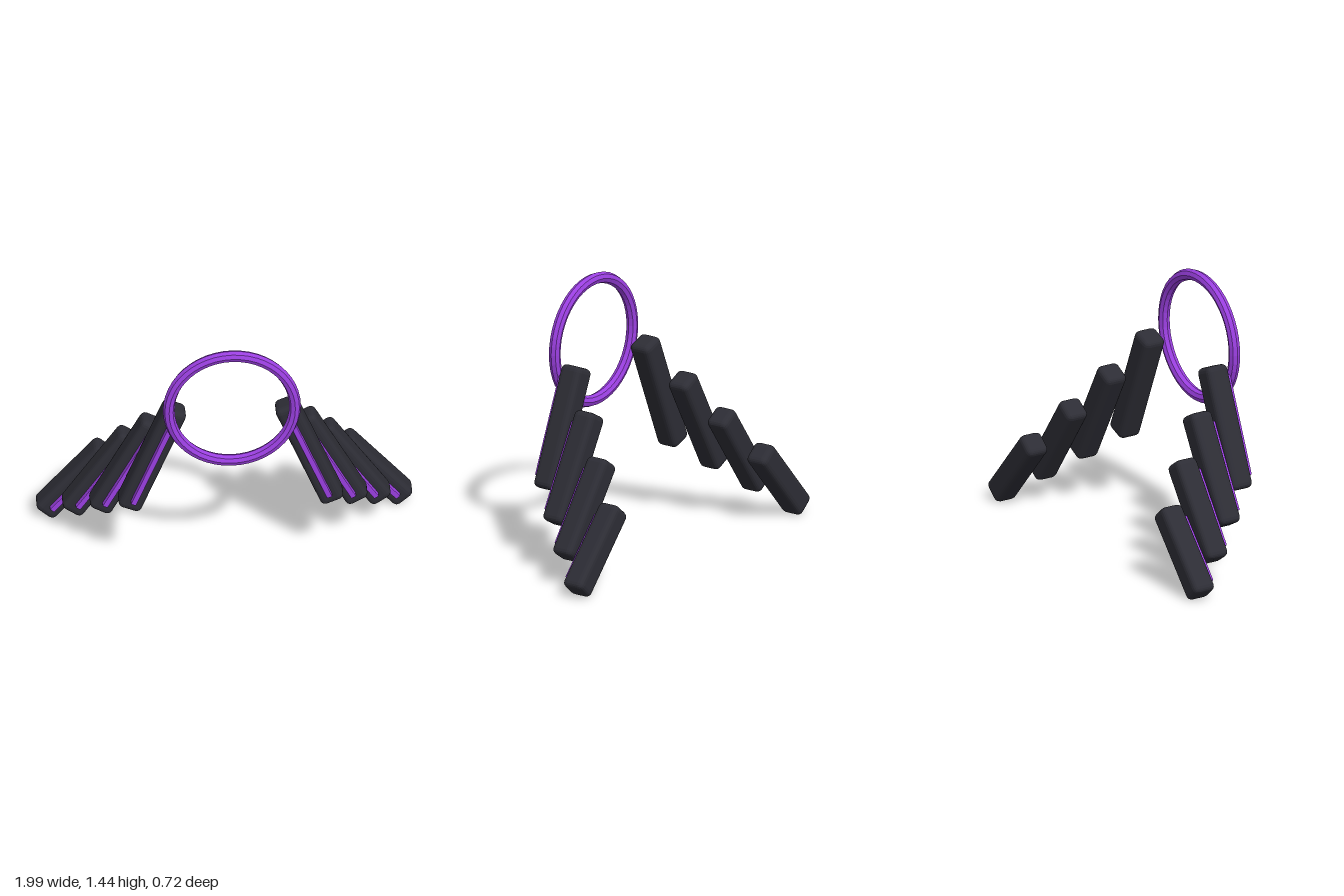
import * as THREE from 'three';
import { RoundedBoxGeometry } from 'three/addons/geometries/RoundedBoxGeometry.js';

// Split the corners so every facet is shaded flat
function faceted(geometry) {
  const flat = geometry.index ? geometry.toNonIndexed() : geometry;
  flat.computeVertexNormals();
  return flat;
}

export function createModel() {
  const model = new THREE.Group();
  model.name = 'ringWithBars';

  const purple = new THREE.MeshStandardMaterial({ color: 0x9a3fe0 });
  purple.name = 'purple';
  const charcoal = new THREE.MeshStandardMaterial({ color: 0x2d2d35 });
  charcoal.name = 'charcoal';

  // Upright ring at the front
  const ring = new THREE.Mesh(faceted(new THREE.TorusGeometry(0.335, 0.031, 8, 48)), purple);
  ring.name = 'ring';
  ring.position.set(0, 1.072, 0.33);
  model.add(ring);

  // Four leaning bars per side, each shorter, lower and further back
  const width = 0.13, depth = 0.13;
  for (let i = 0; i < 4; i++) {
    const length = 0.67 - 0.054 * i;
    const barShape = faceted(new RoundedBoxGeometry(width, length, depth, 2, 0.03));
    const stripShape = faceted(new RoundedBoxGeometry(0.03, length - 0.123, 0.036, 1, 0.005));

    for (const side of [1, -1]) {
      const segment = new THREE.Group();
      segment.name = `${side > 0 ? 'left' : 'right'}Segment${i + 1}`;
      segment.position.set(side * (0.417 + 0.125 * i), 0.706 - 0.161 * i, 0.215 - 0.17 * i);
      segment.rotation.z = side * (0.39 + 0.11 * i);

      const bar = new THREE.Mesh(barShape, charcoal);
      bar.name = 'bar';

      // Raised glowing strip on the front face
      const strip = new THREE.Mesh(stripShape, purple);
      strip.name = 'strip';
      strip.position.z = depth / 2 + 0.012;

      segment.add(bar, strip);
      model.add(segment);
    }
  }
  return model;
}
